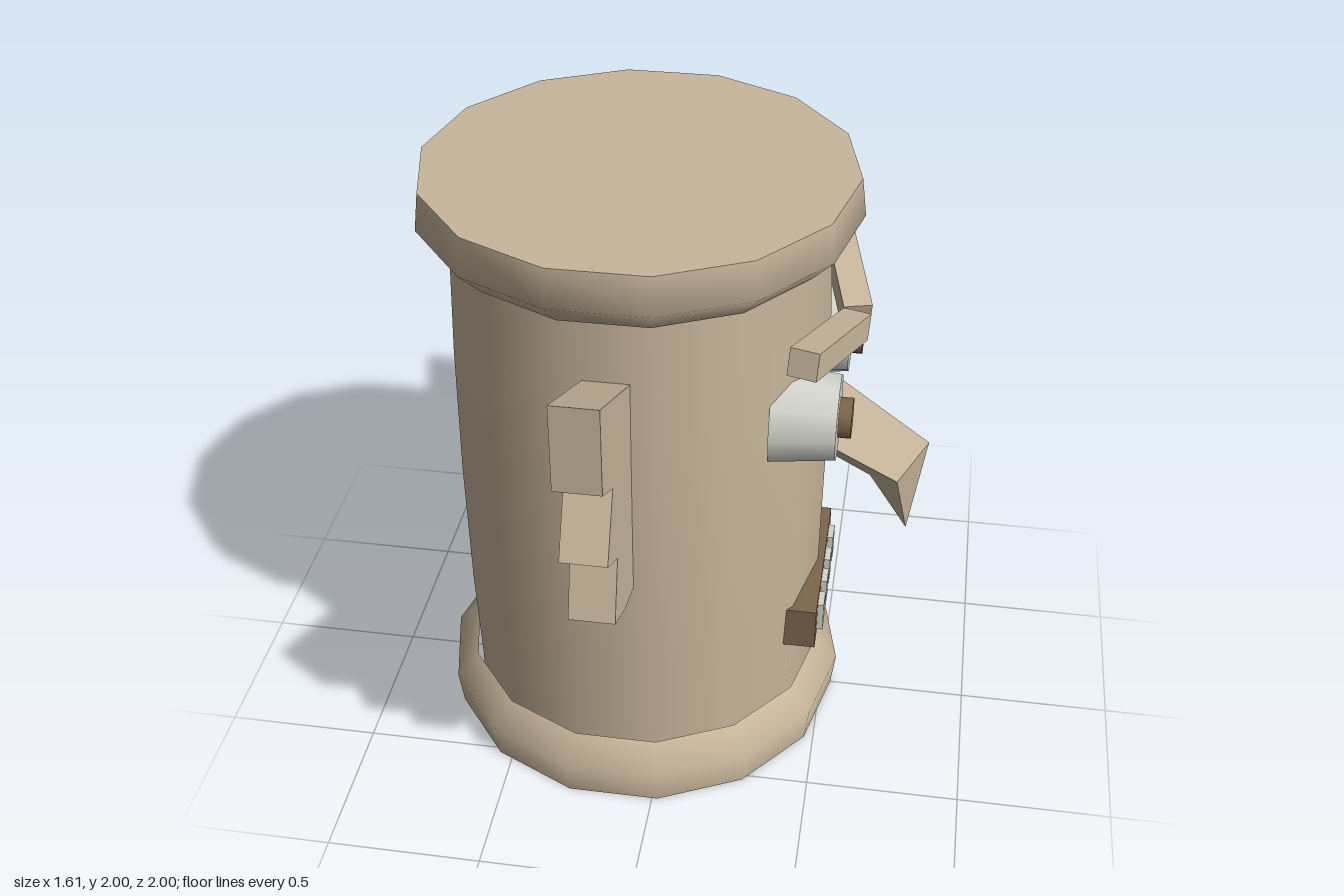
import * as THREE from 'three';

const CX = -0.13; // axis of the pole
const SIDES = 14;

export function createModel() {
  const model = new THREE.Group();
  model.name = 'totemPole';

  const wood = new THREE.MeshStandardMaterial({ color: 0xc8b69c, side: THREE.DoubleSide });
  wood.name = 'wood';
  const darkWood = new THREE.MeshStandardMaterial({ color: 0x7d664c });
  darkWood.name = 'darkWood';
  const white = new THREE.MeshStandardMaterial({ color: 0xd4d4ce });
  white.name = 'white';

  const add = (name, geometry, material, x = 0, y = 0, z = 0) => {
    const mesh = new THREE.Mesh(geometry, material);
    mesh.name = name;
    mesh.position.set(x, y, z);
    model.add(mesh);
    return mesh;
  };

  // Turned parts, with a corner pointing to the face side
  const lathe = (points) => new THREE.LatheGeometry(
    points.map(([r, y]) => new THREE.Vector2(r, y)), SIDES, Math.PI / 2);

  // Hollow trunk, slightly bulged, open below
  add('trunk', lathe([[0.585, 0], [0.585, 0.2], [0.597, 0.55], [0.602, 1],
    [0.597, 1.45], [0.585, 1.8], [0.585, 1.95]]), wood, CX);

  // Rims and lid
  add('bottomRim', lathe([[0.665, 0], [0.68, 0.12], [0.603, 0.2]]), wood, CX);
  add('topRim', lathe([[0.603, 1.8], [0.68, 1.88], [0.665, 2]]), wood, CX);
  const lid = new THREE.CircleGeometry(0.665, SIDES);
  lid.rotateX(-Math.PI / 2);
  add('lid', lid, wood, CX, 2);

  // Beak: two diamond cross-sections closing to a hooked tip
  const sections = [
    [[0.46, 1.33, 0], [0.43, 1.17, 0.15], [0.44, 1.03, 0], [0.43, 1.17, -0.15]],
    [[0.80, 1.08, 0], [0.71, 1.0, 0.12], [0.62, 0.93, 0], [0.71, 1.0, -0.12]],
  ];
  const tip = [0.75, 0.73, 0];
  const beakPoints = [];
  for (let i = 0; i < 4; i++) {
    const j = (i + 1) % 4;
    const [a, b] = [sections[0][i], sections[0][j]];
    const [c, d] = [sections[1][i], sections[1][j]];
    beakPoints.push(...a, ...b, ...c, ...b, ...d, ...c, ...c, ...d, ...tip);
  }
  // Turn the corner order so the faces look outward
  for (let t = 0; t < beakPoints.length; t += 9) {
    for (let k = 0; k < 3; k++) {
      const keep = beakPoints[t + 3 + k];
      beakPoints[t + 3 + k] = beakPoints[t + 6 + k];
      beakPoints[t + 6 + k] = keep;
    }
  }
  const beak = new THREE.BufferGeometry();
  beak.setAttribute('position', new THREE.Float32BufferAttribute(beakPoints, 3));
  beak.computeVertexNormals();
  add('beak', beak, wood);

  const wingOutline = [[0.55, 1.585], [1, 1.8], [1, 1.52], [0.86, 1.44], [0.96, 1.24],
    [0.82, 1.16], [0.88, 0.96], [0.72, 0.885], [0.55, 0.845]];

  for (const s of [1, -1]) {
    // Wing with notched feather edge
    const shape = new THREE.Shape(wingOutline.map(([z, y]) => new THREE.Vector2(s * z, y)));
    const wing = new THREE.ExtrudeGeometry(shape, { depth: 0.14, bevelEnabled: false });
    wing.rotateY(-Math.PI / 2);
    add('wing', wing, wood, -0.06);

    // Tapered eye and pupil
    const eye = new THREE.CylinderGeometry(0.137, 0.16, 0.2, 10);
    eye.rotateZ(-Math.PI / 2);
    add('eye', eye, white, 0.42, 1.32, s * 0.25);
    const pupil = new THREE.CylinderGeometry(0.065, 0.065, 0.08, 10);
    pupil.rotateZ(-Math.PI / 2);
    add('pupil', pupil, darkWood, 0.52, 1.315, s * 0.24);

    // Slanted brow
    const outer = new THREE.Vector3(0.42, 1.645, s * 0.472);
    const inner = new THREE.Vector3(0.542, 1.517, s * 0.025);
    const brow = add('brow', new THREE.BoxGeometry(0.09, 0.085, outer.distanceTo(inner)), wood);
    brow.position.copy(outer).lerp(inner, 0.5);
    brow.lookAt(inner);
  }

  // Mouth and teeth
  add('mouth', new THREE.BoxGeometry(0.105, 0.15, 0.565), darkWood, 0.435, 0.485, 0);
  for (const z of [-0.18, -0.058, 0.058, 0.18]) {
    add('tooth', new THREE.BoxGeometry(0.04, 0.105, 0.07), white, 0.487, 0.485, z);
  }
  return model;
}
